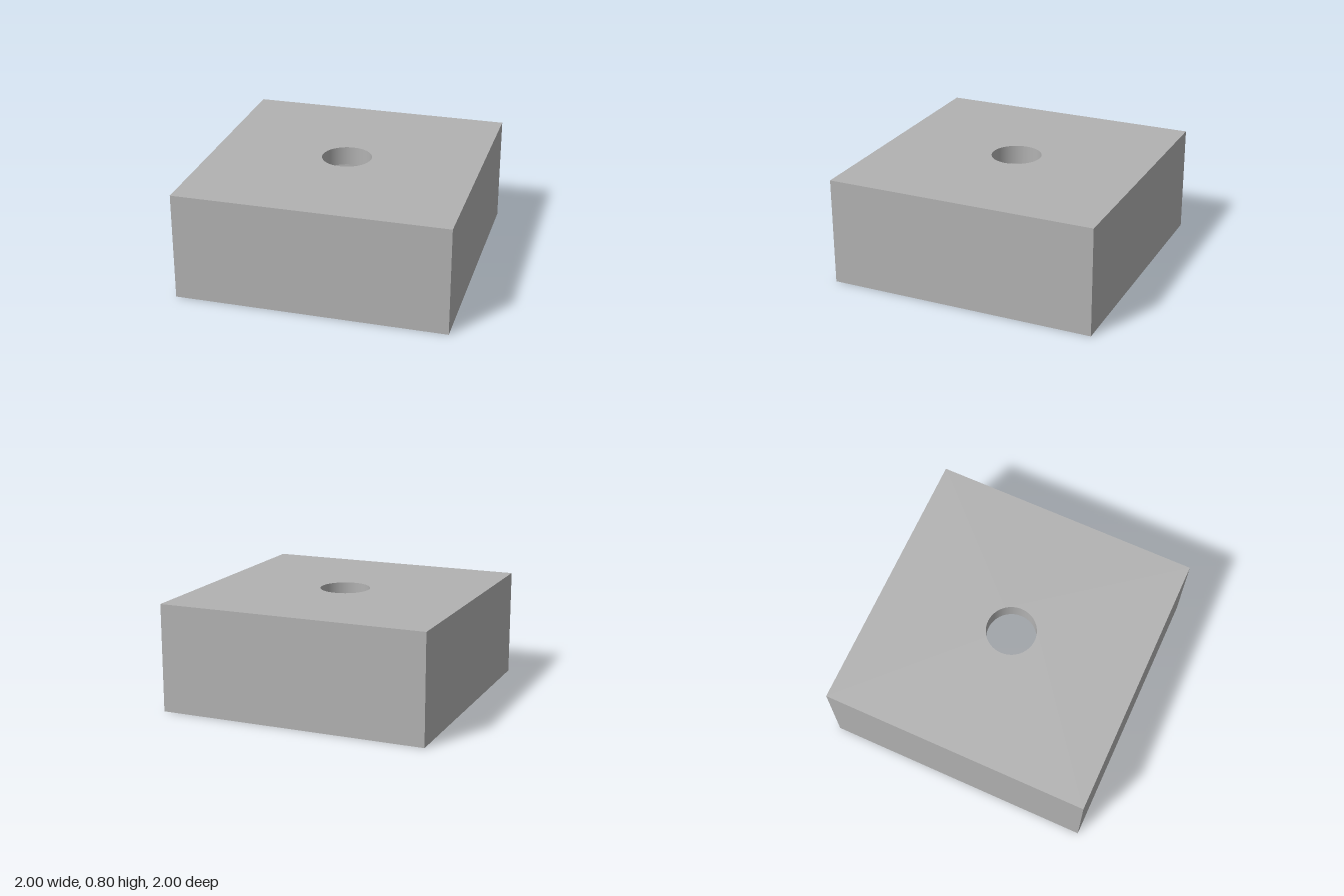
import * as THREE from 'three';

const HALF = 1, HEIGHT = 0.8;            // outer block
const POCKET = 0.68, CEILING = 0.66;     // square pocket open at the bottom
const HOLE = 0.186;                      // round hole through the top

function squarePath(Type, h) {
  return new Type([[-h, -h], [h, -h], [h, h], [-h, h]].map(([x, y]) => new THREE.Vector2(x, y)));
}

function holePath() {
  return new THREE.Path().absarc(0, 0, HOLE, 0, Math.PI * 2, true);
}

// Horizontal face with an opening, looking up or down
function face(half, opening, y, up) {
  const shape = squarePath(THREE.Shape, half);
  shape.holes.push(opening);
  const geometry = new THREE.ShapeGeometry(shape, 32);
  geometry.rotateX(up ? -Math.PI / 2 : Math.PI / 2);
  return geometry.translate(0, y, 0);
}

// Ring of walls; rising from y0 to y1 faces outward, falling faces inward
function walls(radius, y0, y1, sides) {
  const profile = [new THREE.Vector2(radius, y0), new THREE.Vector2(radius, y1)];
  return new THREE.LatheGeometry(profile, sides, Math.PI / 4);
}

function squareWalls(half, y0, y1) {
  const geometry = walls(half * Math.SQRT2, y0, y1, 4).toNonIndexed();
  geometry.computeVertexNormals();
  return geometry;
}

export function createModel() {
  const grey = new THREE.MeshStandardMaterial({ color: 0xb2b2b2 });
  grey.name = 'grey';
  const model = new THREE.Group();
  model.name = 'hollowBlock';

  const parts = {
    topFace: face(HALF, holePath(), HEIGHT, true),
    outerWalls: squareWalls(HALF, 0, HEIGHT),
    bottomRim: face(HALF, squarePath(THREE.Path, POCKET), 0, false),
    pocketWalls: squareWalls(POCKET, CEILING, 0),
    pocketCeiling: face(POCKET, holePath(), CEILING, false),
    holeWall: walls(HOLE, HEIGHT, CEILING, 64),
  };
  for (const [name, geometry] of Object.entries(parts)) {
    const mesh = new THREE.Mesh(geometry, grey);
    mesh.name = name;
    model.add(mesh);
  }
  return model;
}
